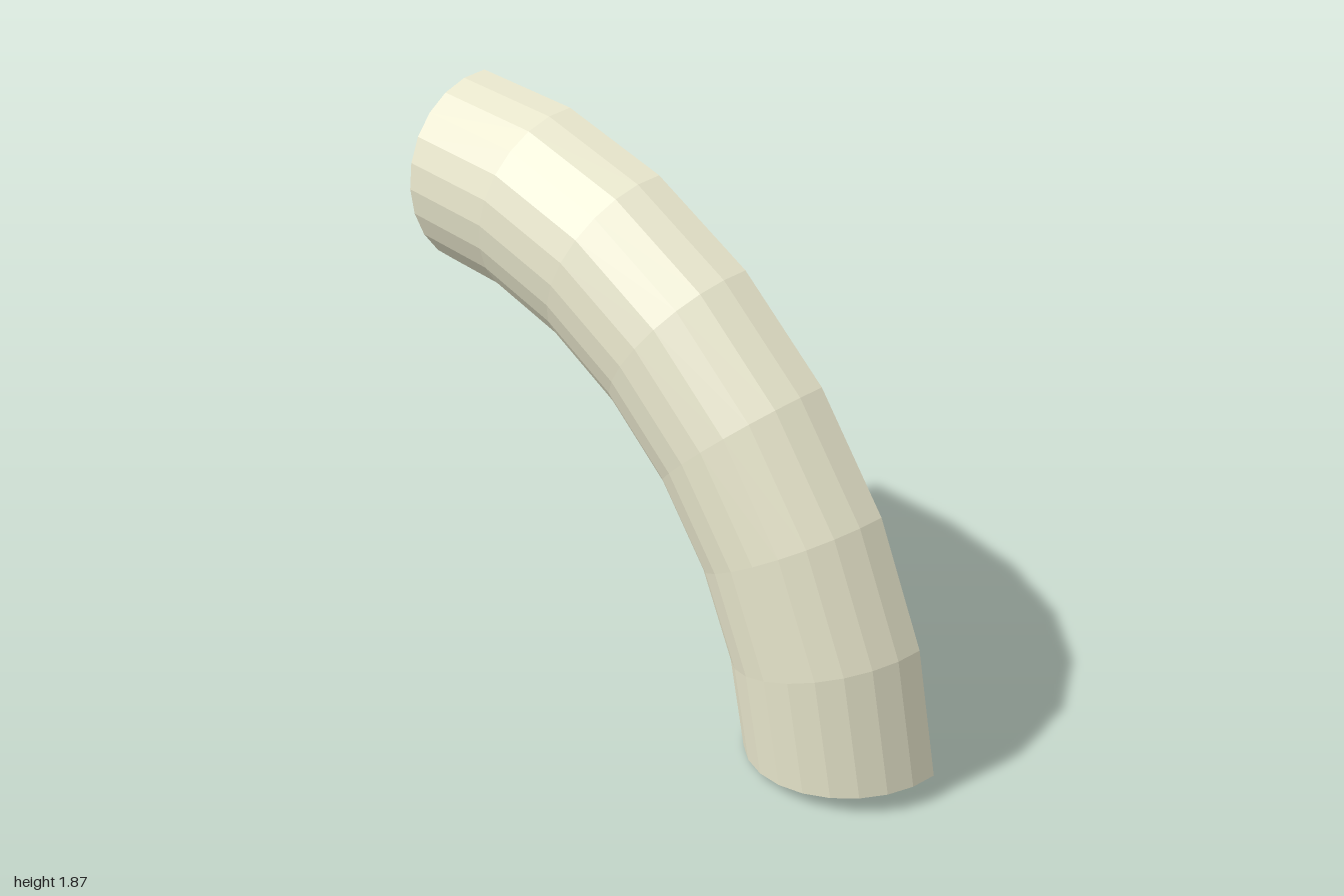
import * as THREE from 'three';

const BEND_RADIUS = 1.677;            // bend centre to pipe axis
const OUTER = 0.334, WALL = 0.05;     // pipe radius and wall thickness
const CENTRE_X = -1, CENTRE_Y = -0.14;
const SWEEP = THREE.MathUtils.degToRad(84);
const BEND_STEPS = 7, SIDES = 12;

// Points of a half circle, from angle 0 to 180 degrees
function halfCircle(radius) {
  const points = [];
  for (let i = 0; i <= SIDES; i++) {
    const a = (i / SIDES) * Math.PI;
    points.push(new THREE.Vector2(Math.cos(a) * radius, Math.sin(a) * radius));
  }
  return points;
}

export function createModel() {
  const group = new THREE.Group();
  group.name = 'halfPipeElbow';

  // C-shaped wall section, extruded straight along the sweep angle
  const section = new THREE.Shape([...halfCircle(OUTER), ...halfCircle(OUTER - WALL).reverse()]);
  const geometry = new THREE.ExtrudeGeometry(section, {
    depth: SWEEP, steps: BEND_STEPS, bevelEnabled: false,
  });

  // Bend the straight channel around the z axis
  const pos = geometry.attributes.position;
  for (let i = 0; i < pos.count; i++) {
    const r = BEND_RADIUS + pos.getX(i);
    const a = pos.getZ(i);
    pos.setXYZ(i, CENTRE_X + r * Math.sin(a), CENTRE_Y + r * Math.cos(a), pos.getY(i) - OUTER / 2);
  }
  geometry.computeVertexNormals();

  const material = new THREE.MeshStandardMaterial({ color: 0xe8e6cc, flatShading: true });
  const elbow = new THREE.Mesh(geometry, material);
  elbow.name = 'pipeWall';
  group.add(elbow);
  return group;
}
